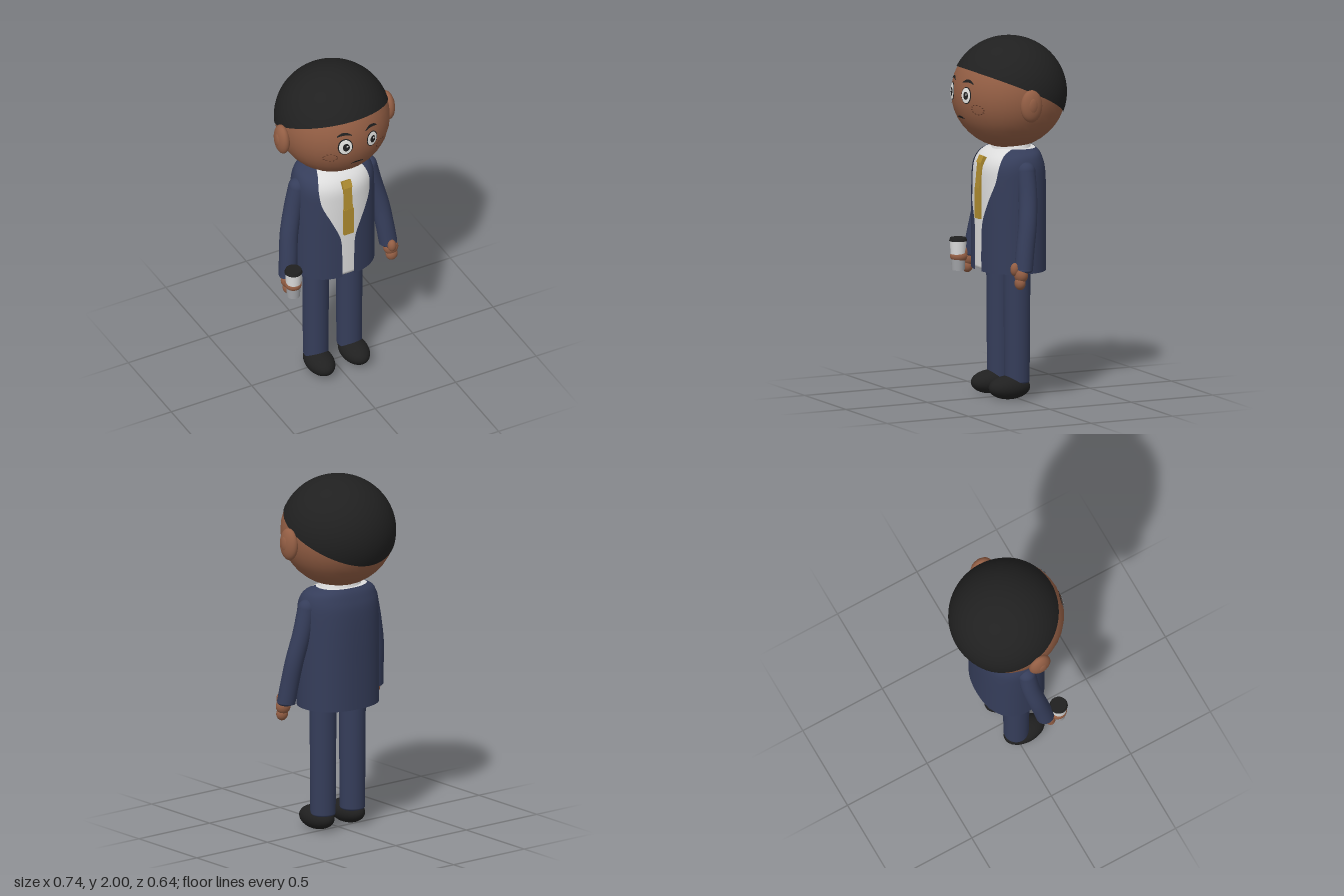
import * as THREE from 'three';
import { mergeVertices } from 'three/addons/utils/BufferGeometryUtils.js';

const mat = (name, color, side = THREE.FrontSide) =>
  Object.assign(new THREE.MeshStandardMaterial({ color, side }), { name });

const HEAD = { y: 1.69, r: 0.316, ry: 0.307 };

// Jacket rows: height, half width, half depth / opening half width, z shift
const ROWS = [
  [0.71, 0.235, 0.188, 0.037, 0], [0.84, 0.235, 0.188, 0.037, 0],
  [0.97, 0.235, 0.188, 0.045, 0], [1.08, 0.235, 0.188, 0.088, 0],
  [1.2, 0.234, 0.186, 0.142, 0], [1.28, 0.232, 0.18, 0.156, 0],
  [1.33, 0.222, 0.163, 0.152, -0.004], [1.365, 0.2, 0.138, 0.138, -0.015],
  [1.39, 0.152, 0.105, 0.12, -0.03],
];

// Lofted torso of rounded cross-sections, open at the front if wanted
function torso(scale, open, capped) {
  const a = new THREE.CatmullRomCurve3(ROWS.map((r) => new THREE.Vector3(r[0], r[1], r[2])), false, 'catmullrom');
  const b = new THREE.CatmullRomCurve3(ROWS.map((r) => new THREE.Vector3(r[0], r[3], r[4])), false, 'catmullrom');
  const n = 56, rows = 40, pw = 0.88, pos = [], idx = [];
  const rings = [];
  for (let j = 0; j <= rows; j++) {
    const p = a.getPoint(j / rows), q = b.getPoint(j / rows);
    rings.push([p.x, p.y * scale, p.z * scale, q.y, q.z]);
  }
  if (capped) {
    rings[0][0] += 0.012;
    rings.unshift([rings[0][0], 0.0005, 0.0005, 0, 0]);
    rings.push([1.392, 0.0005, 0.0005, 0, -0.03]);
  }
  const pow = (v) => Math.sign(v) * Math.abs(v) ** pw;
  rings.forEach(([y, rx, rz, w, dz]) => {
    const start = open ? Math.asin(Math.min(1, (w / rx) ** (1 / pw))) : 0;
    for (let i = 0; i <= n; i++) {
      const t = start + (i / n) * (Math.PI * 2 - 2 * start);
      pos.push(rx * pow(Math.sin(t)), y, rz * pow(Math.cos(t)) + dz);
    }
  });
  for (let j = 0; j < rings.length - 1; j++) {
    for (let i = 0; i < n; i++) {
      const k = j * (n + 1) + i, m = k + n + 1;
      idx.push(k, k + 1, m, k + 1, m + 1, m);
    }
  }
  let g = new THREE.BufferGeometry();
  g.setAttribute('position', new THREE.Float32BufferAttribute(pos, 3));
  g.setIndex(idx);
  if (!open) g = mergeVertices(g, 1e-5);
  g.computeVertexNormals();
  return g;
}

// Hair cap: sphere squeezed above a hairline that drops toward the back
function hairCap() {
  const g = new THREE.SphereGeometry(1, 64, 28, 0, Math.PI * 2, 0, 1.5);
  const p = g.attributes.position, uv = g.attributes.uv;
  for (let i = 0; i < p.count; i++) {
    const u = uv.getX(i) * Math.PI * 2, c = Math.sin(u);
    const y = 1.71 + 0.145 * c - 0.015 * (2 * c * c - 1);
    const t = (1 - uv.getY(i)) * Math.acos((y - HEAD.y) / HEAD.ry);
    p.setXYZ(i, -Math.cos(u) * Math.sin(t), Math.cos(t), c * Math.sin(t));
    g.attributes.normal.setXYZ(i, p.getX(i), p.getY(i), p.getZ(i));
  }
  return g;
}

// Lays a flat geometry onto the front of the head
function onFace(g, lift) {
  const p = g.attributes.position;
  for (let i = 0; i < p.count; i++) {
    const x = p.getX(i), y = (p.getY(i) - HEAD.y) / HEAD.ry;
    p.setZ(i, HEAD.r * Math.sqrt(1 - y * y - (x / HEAD.r) ** 2) + lift);
  }
  g.computeVertexNormals();
  return g;
}

export function createModel() {
  const model = new THREE.Group();
  const skin = mat('skin', 0x935e44), freckle = mat('freckle brown', 0x5c3727);
  const black = mat('black', 0x202020), navy = mat('navy', 0x353d5a, THREE.DoubleSide);
  const white = mat('shirt white', 0xdcdcdc), gold = mat('tie gold', 0xb08d30);
  const eyeWhite = mat('eye white', 0xeeeeea), grey = mat('cup grey', 0xa2a4a8);

  const add = (name, geo, material, x = 0, y = 0, z = 0, parent = model) => {
    const m = new THREE.Mesh(geo, material);
    m.name = name;
    m.position.set(x, y, z);
    parent.add(m);
    return m;
  };
  const ball = (name, material, x, y, z, rx, ry, rz) => {
    const m = add(name, new THREE.SphereGeometry(1, 32, 20), material, x, y, z);
    m.scale.set(rx, ry, rz);
    return m;
  };
  const spot = (name, material, x, y, rx, ry, lift) => add(name,
    onFace(new THREE.RingGeometry(0, 1, 28, 4).scale(rx, ry, 1).translate(x, y, 0), lift), material);
  // Tapered curved stroke painted on the face
  const stroke = (name, x, y, w, h, bend) => {
    const g = new THREE.PlaneGeometry(w, h, 14, 1), p = g.attributes.position;
    for (let i = 0; i < p.count; i++) {
      const t = (2 * p.getX(i)) / w;
      p.setY(i, p.getY(i) * (1 - 0.7 * t * t) - bend * t * t);
    }
    return add(name, onFace(g.translate(x, y, 0), 0.003), black);
  };

  // Head and hair
  ball('head', skin, 0, HEAD.y, 0, HEAD.r, HEAD.ry, HEAD.r);
  add('hair', hairCap(), black, 0, HEAD.y, 0).scale.set(HEAD.r + 0.004, HEAD.ry + 0.004, HEAD.r + 0.004);

  // Face
  for (const [x, s] of [[-0.081, 1.06], [0.085, 0.96]]) {
    spot('eyeOutline', black, x, 1.705, 0.039 * s, 0.049 * s, 0.002);
    spot('eye', eyeWhite, x, 1.705, 0.034 * s, 0.044 * s, 0.004);
    spot('pupil', black, x + 0.003, 1.704, 0.018 * s, 0.023 * s, 0.006);
    spot('eyeGlint', eyeWhite, x + 0.008, 1.711, 0.005, 0.006, 0.008);
    stroke('eyebrow', x, 1.785, 0.082, 0.016, 0.014);
    // Ring of freckles on each cheek
    for (let i = 0; i < 12; i++) {
      const a = (i / 12) * Math.PI * 2;
      spot('freckle', freckle, Math.sign(x) * 0.155 + 0.034 * Math.cos(a), 1.632 + 0.027 * Math.sin(a), 0.005, 0.003, 0.002);
    }
  }
  stroke('mouth', 0, 1.573, 0.075, 0.013, 0.005);

  // Upper body
  add('jacket', torso(1, true, false), navy);
  add('shirt', torso(0.97, false, true), white);
  const collar = add('collar', new THREE.CylinderGeometry(0.115, 0.145, 0.075, 40), white, 0, 1.385, -0.015);
  collar.scale.z = 0.8;

  // Tie: knot and two blades following the chest
  const plate = (name, w, y0, z0, y1, z1, d) => {
    const m = add(name, new THREE.BoxGeometry(w, Math.hypot(y1 - y0, z1 - z0), d), gold, 0, (y0 + y1) / 2, (z0 + z1) / 2);
    m.rotation.x = Math.atan2(z1 - z0, y1 - y0);
  };
  plate('tieKnot', 0.054, 1.305, 0.175, 1.343, 0.155, 0.026);
  plate('tieUpper', 0.05, 1.165, 0.188, 1.31, 0.174, 0.014);
  plate('tieLower', 0.06, 1.0, 0.188, 1.17, 0.187, 0.016);

  for (const s of [-1, 1]) {
    // Ears
    ball('ear', skin, s * 0.326, 1.66, 0.025, 0.038, 0.09, 0.064);
    ball('innerEar', skin, s * 0.352, 1.665, 0.028, 0.015, 0.045, 0.03);

    // Sleeves
    const path = new THREE.CatmullRomCurve3([
      [0.218, 1.28, 0.003], [0.25, 1.14, 0.008], [0.284, 0.99, 0.028], [0.3, 0.86, 0.05], [0.312, 0.75, 0.066],
    ].map(([x, y, z]) => new THREE.Vector3(s * x, y, z)));
    add('sleeve', new THREE.TubeGeometry(path, 28, 0.051, 24), navy);
    ball('shoulder', navy, s * 0.218, 1.28, 0.003, 0.051, 0.051, 0.051);
    ball('cuff', navy, s * 0.312, 0.75, 0.066, 0.05, 0.02, 0.05);

    // Hands
    ball('palm', skin, s * 0.318, 0.725, 0.085, 0.043, 0.045, 0.037);
    ball('fingers', skin, s * 0.32, 0.68, 0.092, 0.034, 0.037, 0.03);
    ball('thumb', skin, s * 0.308, 0.757, 0.118, 0.024, 0.036, 0.025);

    // Trousers and shoes
    add('trouserLeg', new THREE.CylinderGeometry(0.075, 0.07, 0.68, 32), navy, s * 0.104, 0.44, 0.002);
    ball('trouserHem', navy, s * 0.104, 0.1, 0.002, 0.07, 0.025, 0.07);
    ball('shoe', black, s * 0.108, 0.066, 0.05, 0.077, 0.066, 0.122);
  }

  // Lidded cup held in the right hand
  const cup = new THREE.Group();
  cup.name = 'cup';
  cup.position.set(-0.32, 0, 0.148);
  model.add(cup);
  add('cupBase', new THREE.CylinderGeometry(0.04, 0.036, 0.065, 28), grey, 0, 0.693, 0, cup);
  add('cupBody', new THREE.CylinderGeometry(0.046, 0.04, 0.1, 28), white, 0, 0.773, 0, cup);
  add('lid', new THREE.CylinderGeometry(0.044, 0.05, 0.018, 28), black, 0, 0.831, 0, cup);
  const grip = add('grippingFingers', new THREE.SphereGeometry(1, 28, 16), skin, 0, 0.737, -0.005, cup);
  grip.scale.set(0.047, 0.036, 0.05);

  return model;
}
